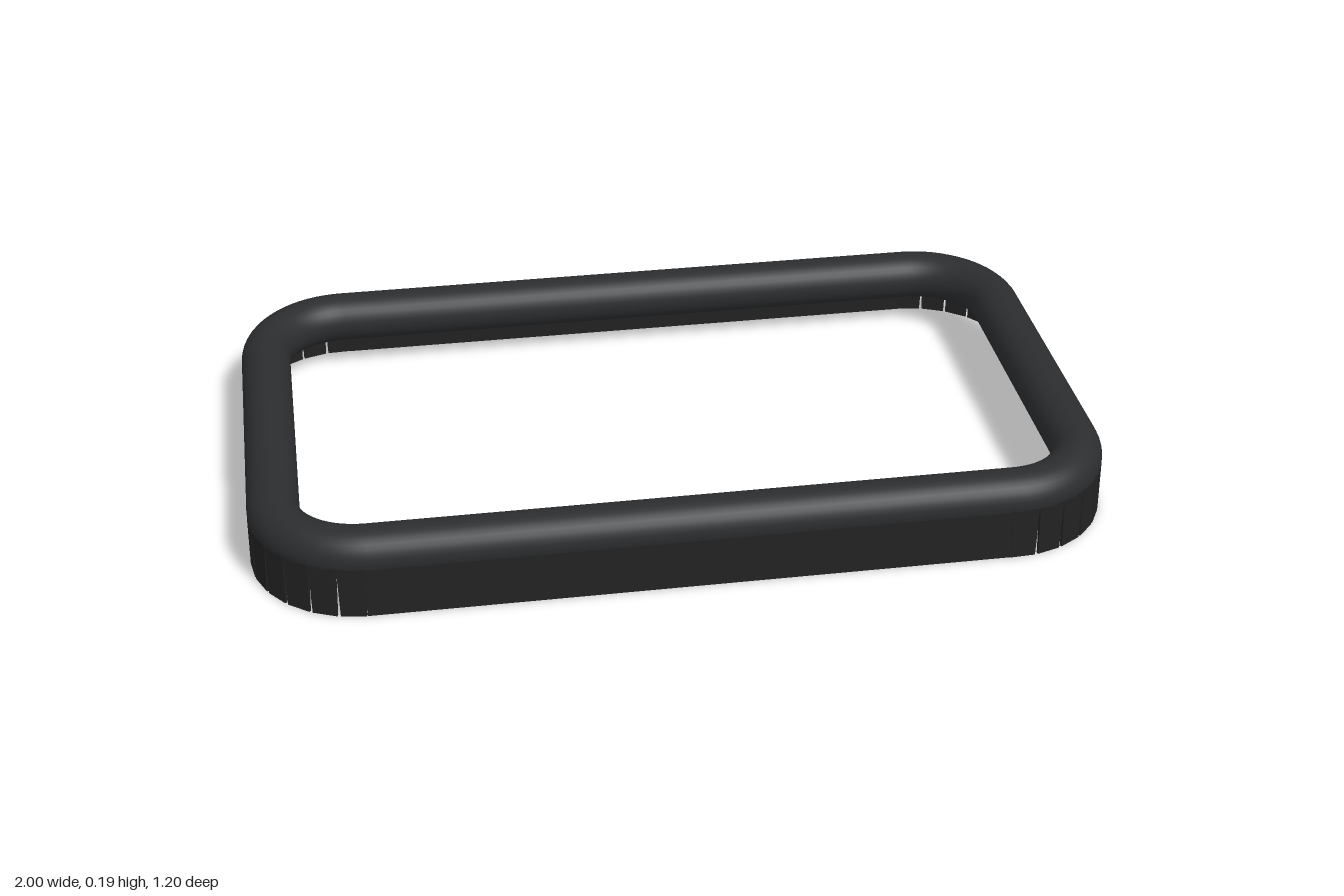
import * as THREE from 'three';
import { mergeGeometries } from 'three/addons/utils/BufferGeometryUtils.js';

// Rounded-rectangle centre line: straight half lengths and corner radius
const HX = 0.74, HZ = 0.34, R = 0.2;
const ARC = R * Math.PI / 2;
const LENGTH = 4 * (HX + HZ + ARC);
const TUBE_R = 0.06, TUBE_Y = 0.135;

// Corner centres in order, each followed by the straight leading to the next
const corners = [[HX, HZ, 2 * HX], [-HX, HZ, 2 * HZ], [-HX, -HZ, 2 * HX], [HX, -HZ, 2 * HZ]];

// Position and outward normal at a distance s along the centre line
function pathAt(s) {
  s = ((s % LENGTH) + LENGTH) % LENGTH;
  for (let i = 0; i < 4; i++) {
    const [cx, cz, straight] = corners[i];
    const a = i * Math.PI / 2 + Math.min(s, ARC) / R;
    const nx = Math.cos(a), nz = Math.sin(a);
    if (s <= ARC + straight || i === 3) {
      const d = Math.max(0, s - ARC);
      return { x: cx + nx * R - nz * d, z: cz + nz * R + nx * d, nx, nz };
    }
    s -= ARC + straight;
  }
}

class FrameCurve extends THREE.Curve {
  getPoint(t, target = new THREE.Vector3()) {
    const p = pathAt(t * LENGTH);
    return target.set(p.x, TUBE_Y, p.z);
  }
}

// Thin flap standing on the ground, slightly narrower at the bottom
function flapGeometry(s) {
  const height = 0.125, offset = 0.055;
  const g = new THREE.BoxGeometry(0.0645, height, 0.006);
  const pos = g.attributes.position;
  for (let i = 0; i < pos.count; i++) {
    if (pos.getY(i) < 0) {
      pos.setX(i, pos.getX(i) * 0.9);
      pos.setZ(i, pos.getZ(i) + 0.002);
    }
  }
  g.computeVertexNormals();
  const p = pathAt(s);
  g.rotateY(Math.atan2(p.nx, p.nz));
  g.translate(p.x + p.nx * offset, height / 2, p.z + p.nz * offset);
  return g;
}

export function createModel() {
  const model = new THREE.Group();
  model.name = 'roundedFrame';

  // Round tube running around the frame
  const tube = new THREE.Mesh(
    new THREE.TubeGeometry(new FrameCurve(), 280, TUBE_R, 32, true),
    new THREE.MeshStandardMaterial({ color: 0x2b2d2f })
  );
  tube.name = 'tubeRing';
  model.add(tube);

  // Skirt of separate flaps, evenly spaced so they fan apart at the corners
  const count = 110, step = LENGTH / count, flaps = [];
  for (let i = 0; i < count; i++) flaps.push(flapGeometry(0.0244 + (i + 0.5) * step));
  const skirt = new THREE.Mesh(
    mergeGeometries(flaps),
    new THREE.MeshStandardMaterial({ color: 0x222222 })
  );
  skirt.name = 'skirtFlaps';
  model.add(skirt);

  return model;
}
